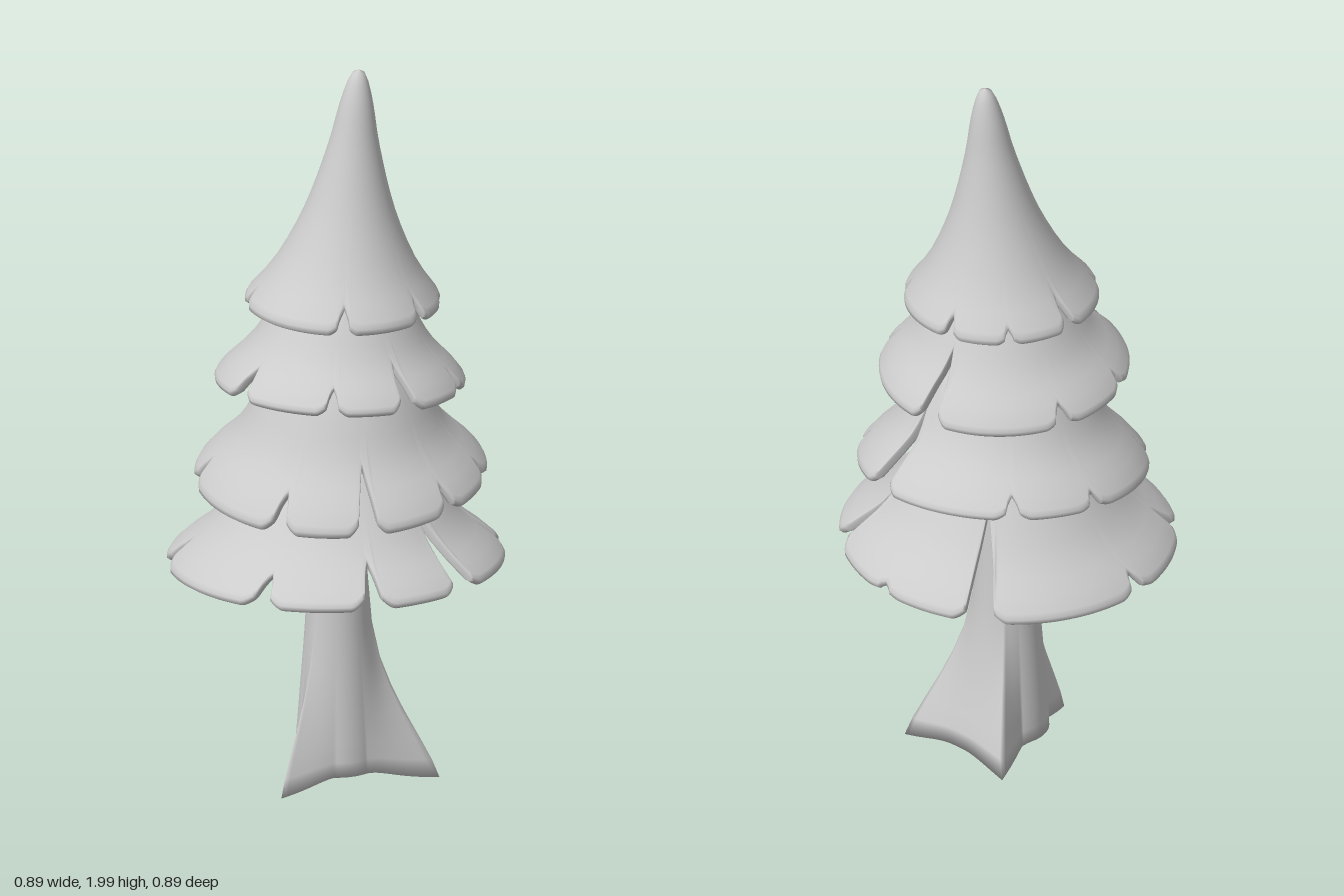
import * as THREE from 'three';

const material = new THREE.MeshStandardMaterial({ color: 0xcccccc, side: THREE.DoubleSide });
const RAD = Math.PI / 180;

// Smallest difference between two angles, in degrees.
function apart(a, b) {
  const d = Math.abs(a - b) % 360;
  return Math.min(d, 360 - d);
}

// Closed ring surface: point(row, angle) gives [x, y, z]; rows run downwards on the outside.
function ringSurface(name, rows, cols, point) {
  const pos = [], idx = [];
  for (let i = 0; i < rows; i++) {
    for (let j = 0; j < cols; j++) pos.push(...point(i, (j / cols) * 360));
  }
  for (let i = 0; i < rows - 1; i++) {
    for (let j = 0; j < cols; j++) {
      const k = (j + 1) % cols;
      const a = i * cols + j, b = i * cols + k, c = a + cols, d = b + cols;
      idx.push(a, b, c, b, d, c);
    }
  }
  const geo = new THREE.BufferGeometry();
  geo.setAttribute('position', new THREE.Float32BufferAttribute(pos, 3));
  geo.setIndex(idx);
  geo.computeVertexNormals();
  const mesh = new THREE.Mesh(geo, material);
  mesh.name = name;
  return mesh;
}

// Profile steps [fraction of slope, share of shell thickness]: outside, rounded rim, inside.
const STEPS = [];
for (let i = 0; i <= 16; i++) STEPS.push([0.96 * Math.pow(i / 16, 1.3), 0]);
STEPS.push([0.985, 0.05], [1, 0.3], [1, 0.75], [0.985, 1]);
for (let i = 6; i >= 0; i--) STEPS.push([0.95 * (i / 6), 1]);

// One skirt of foliage. notches: [angle in degrees, depth, half width in degrees]
function foliageTier({ name, profile, top, rim, tilt, notches }) {
  const curve = new THREE.CatmullRomCurve3(profile.map(([r, y]) => new THREE.Vector3(r, y, 0)));
  const slope = curve.getLength();

  // Share of the slope left at an angle: a narrow slit with bevelled corners at each notch.
  const edge = (angle) => {
    let cut = 0;
    for (const [deg, depth, width = 3] of notches) {
      const d = apart(angle, deg);
      const slit = Math.max(0, 1 - d / width);
      const corner = Math.max(0, 1 - d / (width + 5));
      cut = Math.max(cut, depth * Math.pow(slit, 0.5) + Math.min(0.07, depth) * Math.pow(corner, 1.6));
    }
    return 1 - cut / slope;
  };

  return ringSurface(name, STEPS.length, 360, (i, angle) => {
    const [s, inset] = STEPS[i];
    const t = s * edge(angle);
    const p = curve.getPointAt(t);
    const r = Math.max(0, p.x - 0.022 * inset);
    const c = Math.cos(angle * RAD), n = Math.sin(angle * RAD);
    return [
      THREE.MathUtils.lerp(top[0], rim[0], t) + r * c,
      p.y - 0.014 * inset + t * t * (tilt[0] * c + tilt[1] * n),
      THREE.MathUtils.lerp(top[1], rim[1], t) + r * n,
    ];
  });
}

const TIERS = [
  {
    name: 'topFoliage',
    profile: [[0, 2], [0.017, 1.991], [0.03, 1.96], [0.046, 1.9], [0.066, 1.8], [0.125, 1.6], [0.198, 1.45], [0.25, 1.383], [0.264, 1.358]],
    top: [0.065, 0.015], rim: [0.015, 0.01], tilt: [-0.005, 0],
    notches: [[-101, 0.05, 4], [-60, 0.02], [-22, 0.03], [-153, 0.02], [126, 0.035, 4], [72, 0.03, 4], [38, 0.02]],
  },
  {
    name: 'upperFoliage',
    profile: [[0.05, 1.55], [0.165, 1.38], [0.24, 1.25], [0.318, 1.168], [0.336, 1.138]],
    top: [0.02, 0.01], rim: [0.005, 0.012], tilt: [-0.02, 0.015],
    notches: [[-84, 0.03, 4], [-125, 0.025], [180, 0.05, 4], [130, 0.04], [92, 0.08, 4], [52, 0.035], [-17, 0.13, 5]],
  },
  {
    name: 'middleFoliage',
    profile: [[0.06, 1.36], [0.2, 1.15], [0.277, 1.0], [0.37, 0.902], [0.392, 0.868]],
    top: [0.02, 0.01], rim: [0.022, -0.008], tilt: [0.03, -0.025],
    notches: [[-95, 0.025], [-59, 0.035], [-150, 0.035], [152, 0.05], [115, 0.11, 3.5], [77, 0.04], [45, 0.03], [3, 0.2, 5]],
  },
  {
    name: 'lowerFoliage',
    profile: [[0.08, 1.1], [0.25, 0.85], [0.335, 0.74], [0.432, 0.66], [0.453, 0.632]],
    top: [0.02, 0], rim: [0, 0], tilt: [-0.005, 0.02],
    notches: [[-106, 0.03], [-45, 0.24, 5], [-148, 0.045], [-7, 0.012], [153, 0.05], [113, 0.08], [76, 0.23, 4.5], [28, 0.13]],
  },
];

// Root tips in order around the trunk: [angle in degrees, reach from the axis]
const ROOTS = [[-52, 0.23], [38, 0.27], [168, 0.222]];

// Radius of the three-cornered outline that joins the root tips.
function rootOutline(angle) {
  for (let i = 0; i < ROOTS.length; i++) {
    const [a, ra] = ROOTS[i], [b, rb] = ROOTS[(i + 1) % ROOTS.length];
    const span = (b - a + 360) % 360, from = (angle - a + 720) % 360;
    if (from <= span) {
      const chord = (ra * rb * Math.sin(span * RAD)) /
        (ra * Math.sin(from * RAD) + rb * Math.sin((span - from) * RAD));
      return Math.max(0.112, chord);
    }
  }
}

// Trunk sections: [height, core radius, share of root outline]
const TRUNK = [
  [1.1, 0.06, 0], [0.8, 0.073, 0], [0.6, 0.079, 0], [0.45, 0.084, 0.04], [0.35, 0.089, 0.13],
  [0.27, 0.093, 0.28], [0.2, 0.096, 0.46], [0.12, 0.1, 0.7], [0.06, 0.104, 0.88], [0.01, 0.106, 1],
];

// Trunk flaring into three pointed roots, with scalloped edges between them.
function trunk() {
  return ringSurface('trunk', TRUNK.length + 1, 180, (i, angle) => {
    if (i === TRUNK.length) return [0.01, 0.05, 0];
    const [y, core, share] = TRUNK[i];
    const r = THREE.MathUtils.lerp(core, rootOutline(angle), share);
    const gap = Math.min(1, Math.min(...ROOTS.map(([deg]) => apart(angle, deg))) / 40);
    const lift = Math.max(0, 1 - y / 0.2) * 0.04 * Math.sin(gap * Math.PI / 2);
    return [0.005 + r * Math.cos(angle * RAD), y + lift, r * Math.sin(angle * RAD)];
  });
}

export function createModel() {
  const tree = new THREE.Group();
  tree.name = 'pineTree';
  tree.add(trunk());
  for (const tier of TIERS) tree.add(foliageTier(tier));
  return tree;
}
